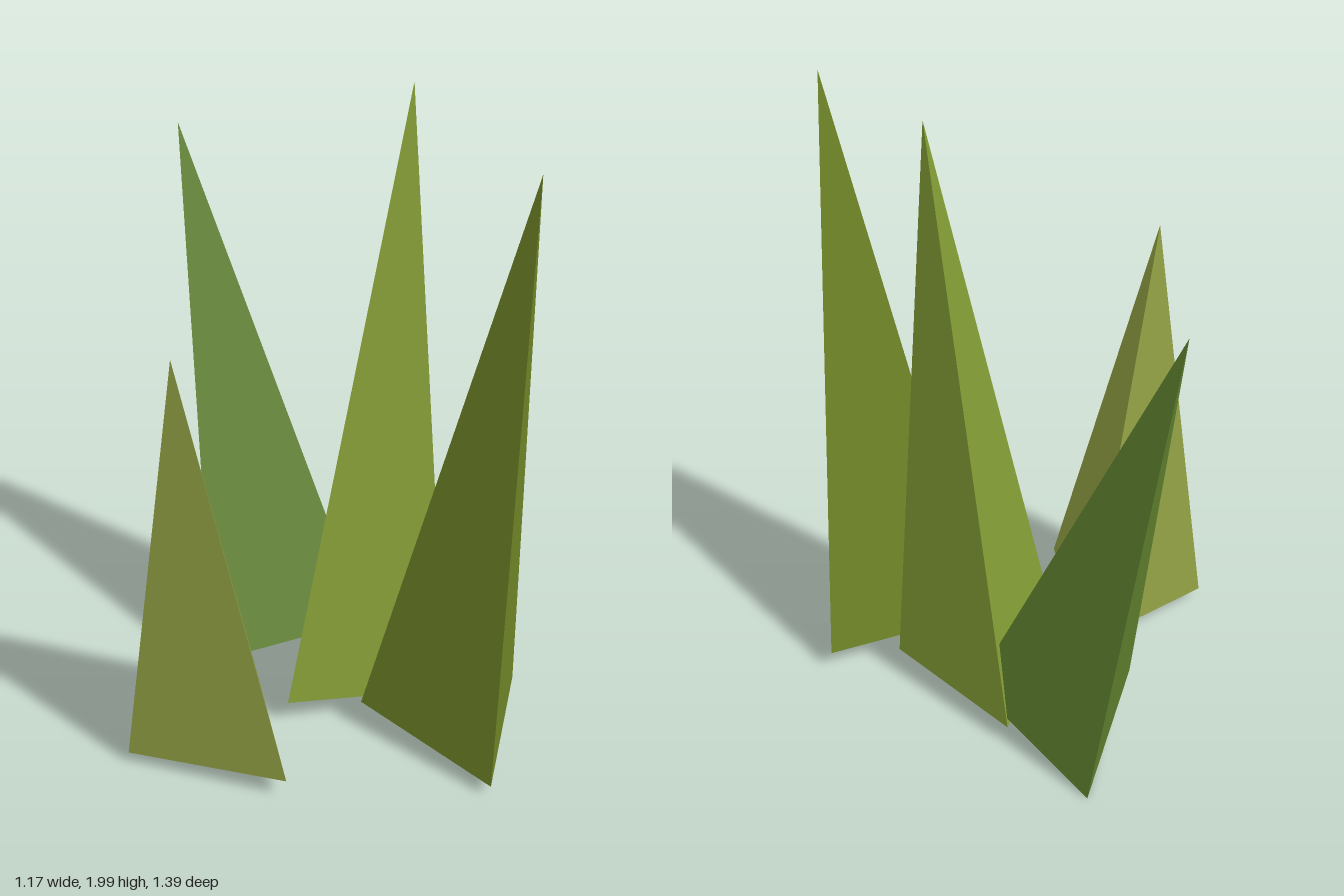
import * as THREE from 'three';

const RADIUS = 0.288;

// One three-sided spike: base centre, tip, and a base corner that sets its spin
function makeBlade(name, color, base, tip, corner) {
  const b = new THREE.Vector3(...base);
  const t = new THREE.Vector3(...tip);
  const up = t.clone().sub(b);
  const height = up.length();
  up.normalize();
  const out = new THREE.Vector3(...corner).sub(b);
  out.addScaledVector(up, -out.dot(up)).normalize();
  const side = up.clone().cross(out);

  const geometry = new THREE.ConeGeometry(RADIUS, height, 3);
  const material = new THREE.MeshStandardMaterial({ color, flatShading: true });
  const blade = new THREE.Mesh(geometry, material);
  blade.name = name;
  blade.quaternion.setFromRotationMatrix(new THREE.Matrix4().makeBasis(side, up, out));
  blade.position.copy(b).add(t).multiplyScalar(0.5);
  return blade;
}

export function createModel() {
  const grass = new THREE.Group();
  grass.name = 'grassTuft';
  grass.add(
    // short blade on the right, leaning outward
    makeBlade('shortBlade', 0x8f9f42, [-0.32, 0.07, 0.108], [-0.47, 1.4, 0.13], [-0.59, 0.04, 0.005]),
    // tallest blade in the middle
    makeBlade('tallBlade', 0x869f36, [0.19, 0.07, 0.04], [0.32, 2.0, 0.08], [-0.09, 0.09, 0.1]),
    // front blade
    makeBlade('frontBlade', 0x6f8526, [0.305, 0.07, 0.415], [0.36, 1.92, 0.605], [0.585, 0.07, 0.33]),
    // back blade, leaning strongly backward
    makeBlade('backBlade', 0x628430, [0.112, 0.07, -0.285], [0.015, 1.67, -0.7], [0.2, 0.005, -0.56])
  );
  return grass;
}
